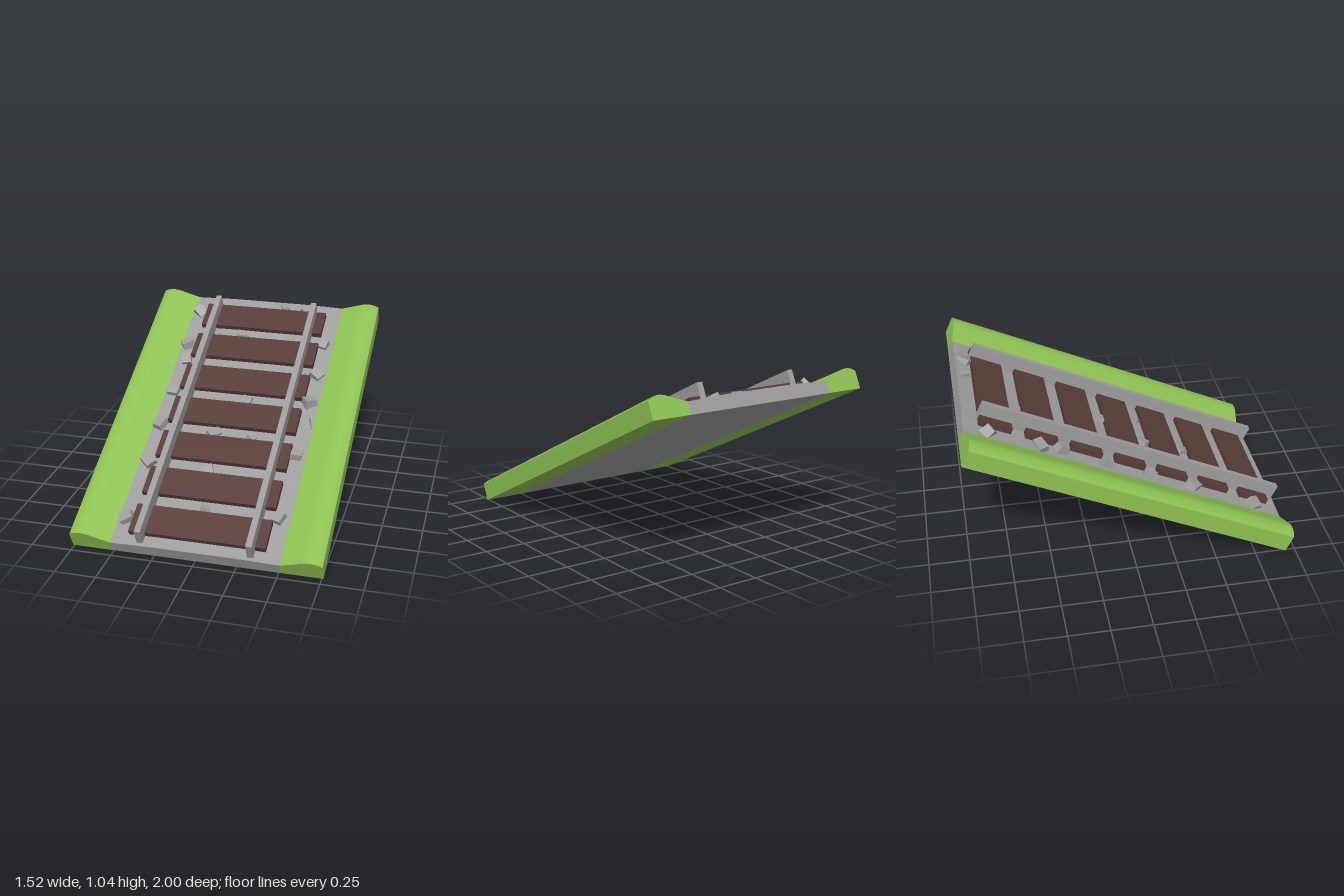
import * as THREE from 'three';
import { toCreasedNormals } from 'three/addons/utils/BufferGeometryUtils.js';

const LENGTH = 2.14;
const SLOPE = THREE.MathUtils.degToRad(25);

function material(name, color) {
  const m = new THREE.MeshStandardMaterial({ color });
  m.name = name;
  return m;
}

export function createModel() {
  const grass = material('grass green', 0x8dc152);
  const gravel = material('gravel grey', 0x9c9c9c);
  const wood = material('sleeper brown', 0x563b38);

  const model = new THREE.Group();
  model.name = 'slopedTrack';

  // The track is built flat, running back along -z, then tilted
  const slope = new THREE.Group();
  slope.name = 'slope';
  slope.rotation.x = SLOPE;
  slope.position.z = 0.94;
  model.add(slope);

  function add(name, geometry, mat, x = 0, y = 0, z = 0) {
    const mesh = new THREE.Mesh(geometry, mat);
    mesh.name = name;
    mesh.position.set(x, y, z);
    slope.add(mesh);
    return mesh;
  }

  function extrudeBack(shape) {
    const geo = new THREE.ExtrudeGeometry(shape, { depth: LENGTH, bevelEnabled: false, curveSegments: 8 });
    geo.translate(0, 0, -LENGTH);
    return toCreasedNormals(geo, 0.5);
  }

  // Gravel bed, slightly crowned
  const bed = new THREE.Shape();
  bed.moveTo(-0.51, 0);
  bed.lineTo(0.51, 0);
  bed.lineTo(0.51, 0.075);
  bed.bezierCurveTo(0.38, 0.079, 0.3, 0.084, 0.22, 0.084);
  bed.lineTo(-0.22, 0.084);
  bed.bezierCurveTo(-0.3, 0.084, -0.38, 0.079, -0.51, 0.075);
  bed.closePath();
  add('gravelBed', extrudeBack(bed), gravel);

  // Rounded grass banks, rails
  for (const side of [-1, 1]) {
    const label = side > 0 ? 'left' : 'right';
    const bank = new THREE.Shape();
    bank.moveTo(side * 0.51, 0);
    bank.lineTo(side * 0.76, 0);
    bank.lineTo(side * 0.76, 0.111);
    bank.bezierCurveTo(side * 0.72, 0.138, side * 0.675, 0.142, side * 0.62, 0.116);
    bank.lineTo(side * 0.51, 0.075);
    bank.closePath();
    add(label + 'GrassBank', extrudeBack(bank), grass);

    add(label + 'Rail', new THREE.BoxGeometry(0.037, 0.111, 2.03), gravel, side * 0.333, 0.1335, -1.037);
  }

  // Sleepers
  const sleeper = new THREE.BoxGeometry(0.83, 0.045, 0.204);
  for (let i = 0; i < 7; i++) {
    add('sleeper' + (i + 1), sleeper, wood, 0, 0.091, -0.177 - i * 0.294);
  }

  // Loose stones: tapered blocks, each as [x, z, size]
  const stones = [
    [-0.46, 0.81, 0.08], [-0.45, 0.41, 0.085], [-0.46, 0.13, 0.08], [-0.45, -0.13, 0.07],
    [-0.44, -0.4, 0.075], [-0.47, -0.53, 0.08], [-0.46, -0.82, 0.08],
    [0.44, 0.69, 0.075], [0.45, 0.25, 0.07], [0.46, 0.02, 0.075], [0.45, -0.15, 0.08],
    [0.45, -0.37, 0.075], [0.45, -0.62, 0.06],
    [-0.01, 0.68, 0.06], [-0.06, 0.42, 0.075], [-0.1, 0.155, 0.08], [0.15, 0.155, 0.055],
    [0.045, -0.11, 0.08], [-0.12, -0.65, 0.08], [0.12, -0.92, 0.06], [0.28, -0.91, 0.08],
  ];
  const block = new THREE.BoxGeometry(1, 0.8, 0.9).toNonIndexed();
  const pos = block.attributes.position;
  for (let i = 0; i < pos.count; i++) {
    const taper = pos.getX(i) > 0 ? 0.75 : 1;
    pos.setY(i, pos.getY(i) * taper);
    pos.setZ(i, pos.getZ(i) * (pos.getY(i) > 0 ? 0.85 : 1));
  }
  block.computeVertexNormals();
  stones.forEach(([x, z, size], i) => {
    const y = Math.abs(x) > 0.4 ? 0.088 : 0.078;
    const along = (0.94 + y * Math.sin(SLOPE) - z) / Math.cos(SLOPE);
    const stone = add('stone' + (i + 1), block, gravel, x, y, -along);
    stone.scale.setScalar(size);
    stone.rotation.set(0.35 * Math.sin(i * 2.3), 0.5 + i * 1.9, 0.35 * Math.cos(i * 1.7));
  });

  return model;
}
